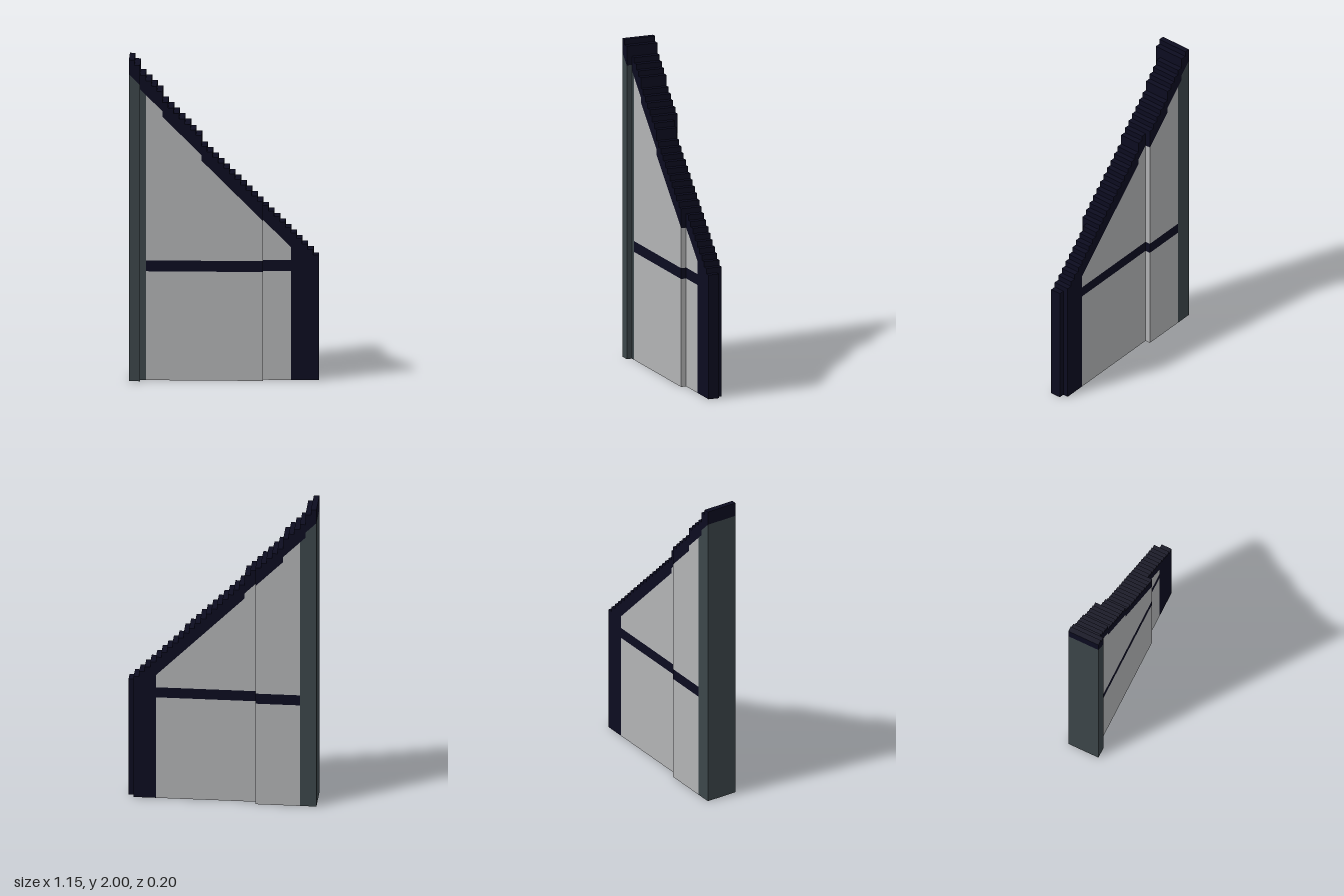
import * as THREE from 'three';

const V = 2 / 59;        // block size
const COLS = 34;         // blocks along x
const POST = 3;          // hinge post width in blocks
const END = 29;          // first column of the dark end post
const RAIL = [20, 22];   // rail bottom and top in blocks

// Stepped top edge: one block down per column, with three double steps
const tops = [];
for (let c = 0, h = 59; c < COLS; c++) {
  tops.push(h);
  h -= [1, 5, 12].includes(c) ? 2 : 1;
}

// Edge functions give the [left, right] height of a column
const level = (h) => () => [h, h];
const stepped = (c) => [tops[c], tops[c]];
const underTrim = (c) => [tops[c] - 2.6, tops[c] - 3.6];

// Upright slab covering columns c0..c1 and depth layers z0..z1
function slab(c0, c1, z0, z1, bottom, top) {
  const edge = (fn) => {
    const pts = [];
    for (let c = c0; c < c1; c++) {
      const [l, r] = fn(c);
      pts.push([c, l], [c + 1, r]);
    }
    return pts;
  };
  const outline = [...edge(bottom), ...edge(top).reverse()]
    .filter((p, i, a) => i === 0 || p[0] !== a[i - 1][0] || Math.abs(p[1] - a[i - 1][1]) > 1e-6)
    .map(([x, y]) => new THREE.Vector2((x - COLS / 2) * V, y * V));
  const geo = new THREE.ExtrudeGeometry(new THREE.Shape(outline), {
    depth: (z1 - z0) * V, bevelEnabled: false,
  });
  return geo.translate(0, 0, (z0 - 3) * V);
}

export function createModel() {
  const mat = (name, color) => {
    const m = new THREE.MeshStandardMaterial({ color });
    m.name = name;
    return m;
  };
  const navy = mat('dark navy trim', 0x0c0c20);
  const grey = mat('light grey panel', 0xb2b3b5);
  const slate = mat('slate post', 0x3c464a);

  // Depth layers from back to front: [z0, z1, column count]
  const layers = [[0, 1, 11], [1, 2, 33], [2, 4, 34], [4, 5, 24], [5, 6, 2]];

  // Parts: [name, material, first column, last column, bottom edge, top edge]
  const parts = [
    ['hingePost', slate, 0, POST, level(0), underTrim],
    ['lowerPanel', grey, POST, END, level(0), level(RAIL[0])],
    ['rail', navy, POST, END, level(RAIL[0]), level(RAIL[1])],
    ['upperPanel', grey, POST, END, level(RAIL[1]), underTrim],
    ['endPost', navy, END, COLS, level(0), underTrim],
    ['steppedTrim', navy, 0, COLS, underTrim, stepped],
  ];

  const model = new THREE.Group();
  model.name = 'slopedPanel';
  for (const [name, material, c0, c1, bottom, top] of parts) {
    const part = new THREE.Group();
    part.name = name;
    for (const [z0, z1, count] of layers) {
      const last = Math.min(c1, count);
      if (last <= c0) continue;
      const mesh = new THREE.Mesh(slab(c0, last, z0, z1, bottom, top), material);
      mesh.name = name + 'Layer';
      part.add(mesh);
    }
    model.add(part);
  }
  return model;
}
